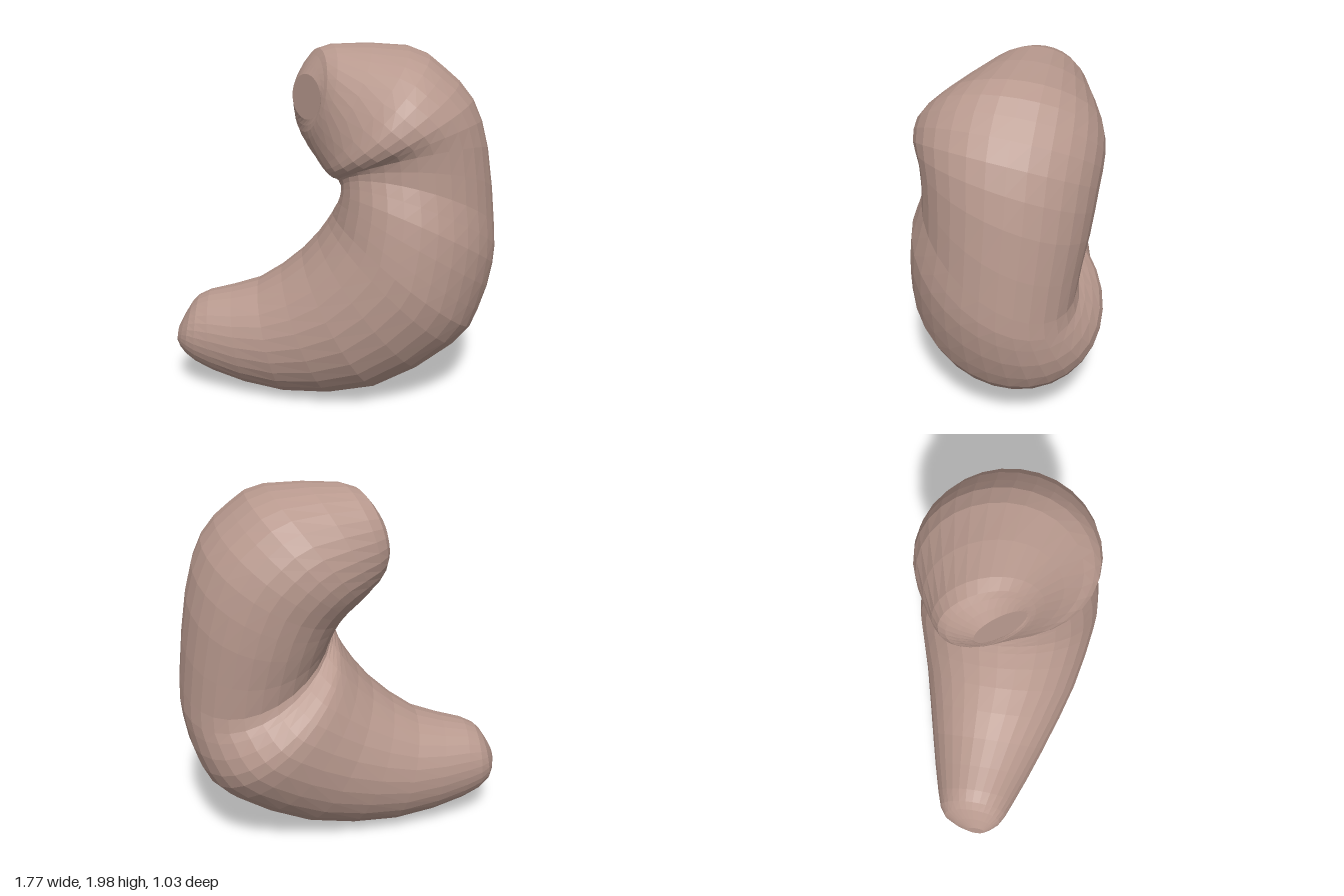
import * as THREE from 'three';

const SIDES = 30;

// Key cross-sections from the narrow tail to the curled head.
// Each: inner x,y | outer x,y | centre z | sideways half-axis x,y,z
const SECTIONS = [
  [-0.875, 0.37, -0.885, 0.28, 0, 0, 0, 0.05],
  [-0.8, 0.5, -0.84, 0.2, -0.03, 0, 0, 0.16],
  [-0.7, 0.57, -0.68, 0.1, -0.03, 0, 0, 0.22],
  [-0.42, 0.65, -0.27, 0.005, -0.01, 0, 0, 0.33],
  [-0.17, 0.84, 0.25, 0.06, 0.01, 0, 0.02, 0.44],
  [-0.03, 1.02, 0.68, 0.31, 0, 0, 0.08, 0.51],
  [0.01, 1.09, 0.815, 0.51, 0, -0.02, 0.13, 0.51],
  [0.04, 1.15, 0.88, 0.78, 0.02, -0.04, 0.2, 0.46],
  [0.05, 1.19, 0.88, 1.0, 0.01, -0.06, 0.24, 0.41],
  [0.03, 1.24, 0.83, 1.43, -0.01, -0.04, 0.15, 0.44],
  [0, 1.27, 0.74, 1.7, 0, -0.02, 0.06, 0.475],
  [-0.04, 1.31, 0.58, 1.87, 0, 0, 0.02, 0.48],
  [-0.08, 1.35, 0.4, 1.97, -0.02, 0.03, 0, 0.42],
  [-0.14, 1.43, 0, 1.975, -0.04, 0.07, 0, 0.27],
  [-0.17, 1.51, -0.09, 1.92, -0.03, 0.08, 0, 0.2],
  [-0.15, 1.59, -0.13, 1.83, 0.03, 0.08, 0, 0.12],
];
const STEPS = (SECTIONS.length - 1) * 2;

// Smooth curve through one point of every section
const curveOf = (pick) =>
  new THREE.CatmullRomCurve3(SECTIONS.map((s) => new THREE.Vector3(...pick(s))), false, 'catmullrom');

function createBody() {
  const inner = curveOf(([ix, iy, , , z]) => [ix, iy, z]);
  const outer = curveOf(([, , ox, oy, z]) => [ox, oy, z]);
  const sideways = curveOf((s) => s.slice(5));
  const positions = [];
  const index = [];

  // Tilted elliptical loops
  for (let i = 0; i <= STEPS; i++) {
    const t = i / STEPS;
    const near = inner.getPoint(t);
    const far = outer.getPoint(t);
    const side = sideways.getPoint(t);
    const centre = near.clone().lerp(far, 0.5);
    const across = far.sub(centre);
    for (let j = 0; j < SIDES; j++) {
      const a = (j / SIDES) * Math.PI * 2;
      const p = centre.clone().addScaledVector(across, Math.cos(a)).addScaledVector(side, Math.sin(a));
      positions.push(p.x, p.y, p.z);
    }
  }

  // Skin between neighbouring loops
  for (let i = 0; i < STEPS; i++) {
    for (let j = 0; j < SIDES; j++) {
      const a = i * SIDES + j;
      const b = i * SIDES + ((j + 1) % SIDES);
      const c = a + SIDES;
      const d = b + SIDES;
      index.push(a, c, b, b, c, d);
    }
  }

  // Small flat caps at both ends
  const last = STEPS * SIDES;
  for (let j = 1; j < SIDES - 1; j++) {
    index.push(0, j, j + 1);
    index.push(last, last + j + 1, last + j);
  }

  const geometry = new THREE.BufferGeometry();
  geometry.setAttribute('position', new THREE.Float32BufferAttribute(positions, 3));
  geometry.setIndex(index);
  geometry.computeVertexNormals();
  return geometry;
}

export function createModel() {
  const model = new THREE.Group();
  model.name = 'curvedPouch';
  const material = new THREE.MeshStandardMaterial({ color: 0xb8998e, flatShading: true });
  const body = new THREE.Mesh(createBody(), material);
  body.name = 'pouchBody';
  model.add(body);
  return model;
}
